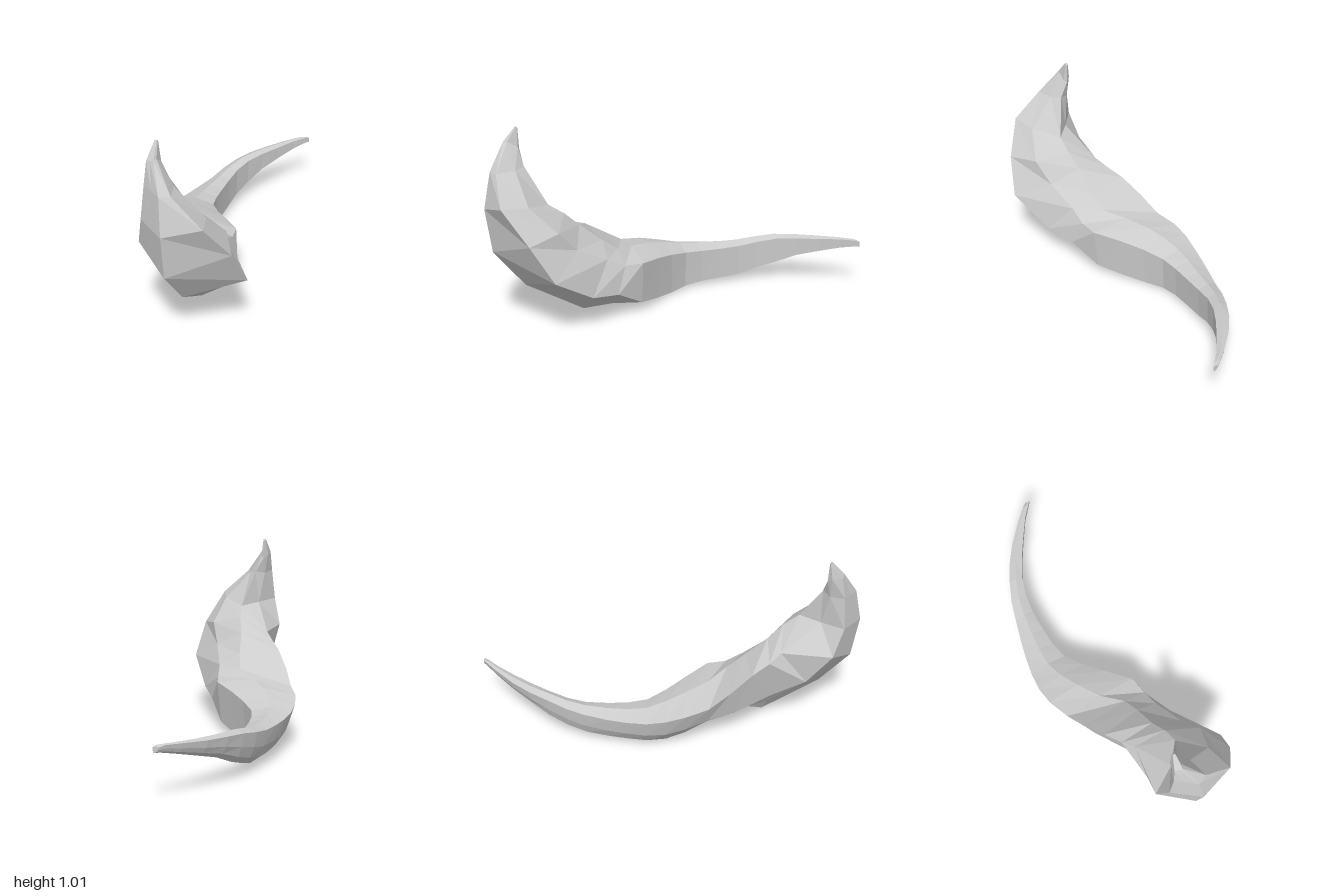
import * as THREE from 'three';

// Each ring runs: keel, right lower, right upper, top middle, left upper, left lower.
const hookRings = [
  [[-0.055, 1.01, 0.815], [-0.053, 1.01, 0.81], [-0.053, 1, 0.805], [-0.06, 1, 0.803], [-0.066, 1.005, 0.805], [-0.066, 1.01, 0.812]],
  [[-0.047, 0.94, 0.88], [-0.04, 0.94, 0.86], [-0.04, 0.91, 0.81], [-0.055, 0.9, 0.8], [-0.078, 0.92, 0.82], [-0.086, 0.93, 0.87]],
  [[0.005, 0.81, 0.96], [0.055, 0.81, 0.94], [0.03, 0.81, 0.84], [-0.01, 0.82, 0.79], [-0.06, 0.81, 0.82], [-0.093, 0.82, 0.89]],
  [[0.025, 0.63, 1], [0.205, 0.675, 0.95], [0.17, 0.66, 0.81], [0.055, 0.63, 0.69], [-0.03, 0.64, 0.79], [-0.11, 0.65, 0.9]],
  [[0.025, 0.405, 0.97], [0.3, 0.505, 0.84], [0.22, 0.53, 0.68], [0.05, 0.575, 0.61], [-0.11, 0.5, 0.59], [-0.147, 0.5, 0.85]],
  [[0.05, 0.22, 0.82], [0.34, 0.32, 0.73], [0.18, 0.42, 0.58], [0.03, 0.5, 0.53], [-0.15, 0.46, 0.53], [-0.11, 0.32, 0.73]],
  [[0.03, 0.04, 0.52], [0.24, 0.18, 0.52], [0.135, 0.335, 0.415], [0.02, 0.4, 0.41], [-0.2, 0.42, 0.44], [-0.085, 0.215, 0.56]],
  [[0.04, 0.05, 0.37], [0.17, 0.15, 0.37], [0.125, 0.285, 0.32], [0, 0.335, 0.32], [-0.255, 0.345, 0.33], [-0.2, 0.185, 0.36]],
];

// Tail stations: z, left x, right x, bottom y, top y
const tailStations = [
  [0.22, -0.295, 0.11, 0.045, 0.305], [0.1, -0.335, 0.01, 0.015, 0.285],
  [0, -0.345, -0.07, 0, 0.26], [-0.1, -0.335, -0.13, 0.005, 0.235],
  [-0.2, -0.315, -0.147, 0.015, 0.225], [-0.3, -0.29, -0.15, 0.02, 0.222],
  [-0.42, -0.255, -0.148, 0.03, 0.225], [-0.52, -0.225, -0.135, 0.06, 0.24],
  [-0.62, -0.18, -0.1, 0.095, 0.257], [-0.72, -0.125, -0.045, 0.145, 0.262],
  [-0.82, -0.05, 0.02, 0.18, 0.265], [-0.92, 0.045, 0.09, 0.215, 0.272],
  [-0.98, 0.11, 0.145, 0.235, 0.275], [-1, 0.135, 0.163, 0.237, 0.268],
];

// Tail cross-section: upright right wall, flat top, rounded lower left
const tailOutline = [[0.75, 0], [0.95, 0.04], [1, 0.9], [0.5, 1], [0, 0.88], [0.13, 0.46], [0.36, 0.16]];

function tailRing([z, xl, xr, yb, yt]) {
  return tailOutline.map(([u, v]) => [xl + u * (xr - xl), yb + v * (yt - yb), z]);
}

// Adds a point between left lower and keel to match the tail's seven corners
function hookRing(ring) {
  const keel = ring[0], left = ring[5];
  return [...ring, keel.map((k, i) => (k + left[i]) / 2)];
}

// Skin a run of rings and close both ends
function loft(rings) {
  const n = rings[0].length;
  const index = [];
  for (let i = 0; i < rings.length - 1; i++) {
    for (let j = 0; j < n; j++) {
      const a = i * n + j, b = i * n + (j + 1) % n;
      index.push(a, a + n, b + n, a, b + n, b);
    }
  }
  const last = (rings.length - 1) * n;
  for (let j = 1; j < n - 1; j++) {
    index.push(0, j, j + 1, last, last + j + 1, last + j);
  }
  const geometry = new THREE.BufferGeometry();
  geometry.setAttribute('position', new THREE.Float32BufferAttribute(rings.flat(2), 3));
  geometry.setIndex(index);
  const flat = geometry.toNonIndexed();
  flat.computeVertexNormals();
  return flat;
}

export function createModel() {
  const group = new THREE.Group();
  group.name = 'curvedHorn';
  const material = new THREE.MeshStandardMaterial({
    color: 0xcccccc, flatShading: true, side: THREE.DoubleSide,
  });

  // One continuous skin from the upturned point to the thin tail
  const rings = [...hookRings.map(hookRing), ...tailStations.map(tailRing)];
  const horn = new THREE.Mesh(loft(rings), material);
  horn.name = 'horn';
  group.add(horn);
  return group;
}
